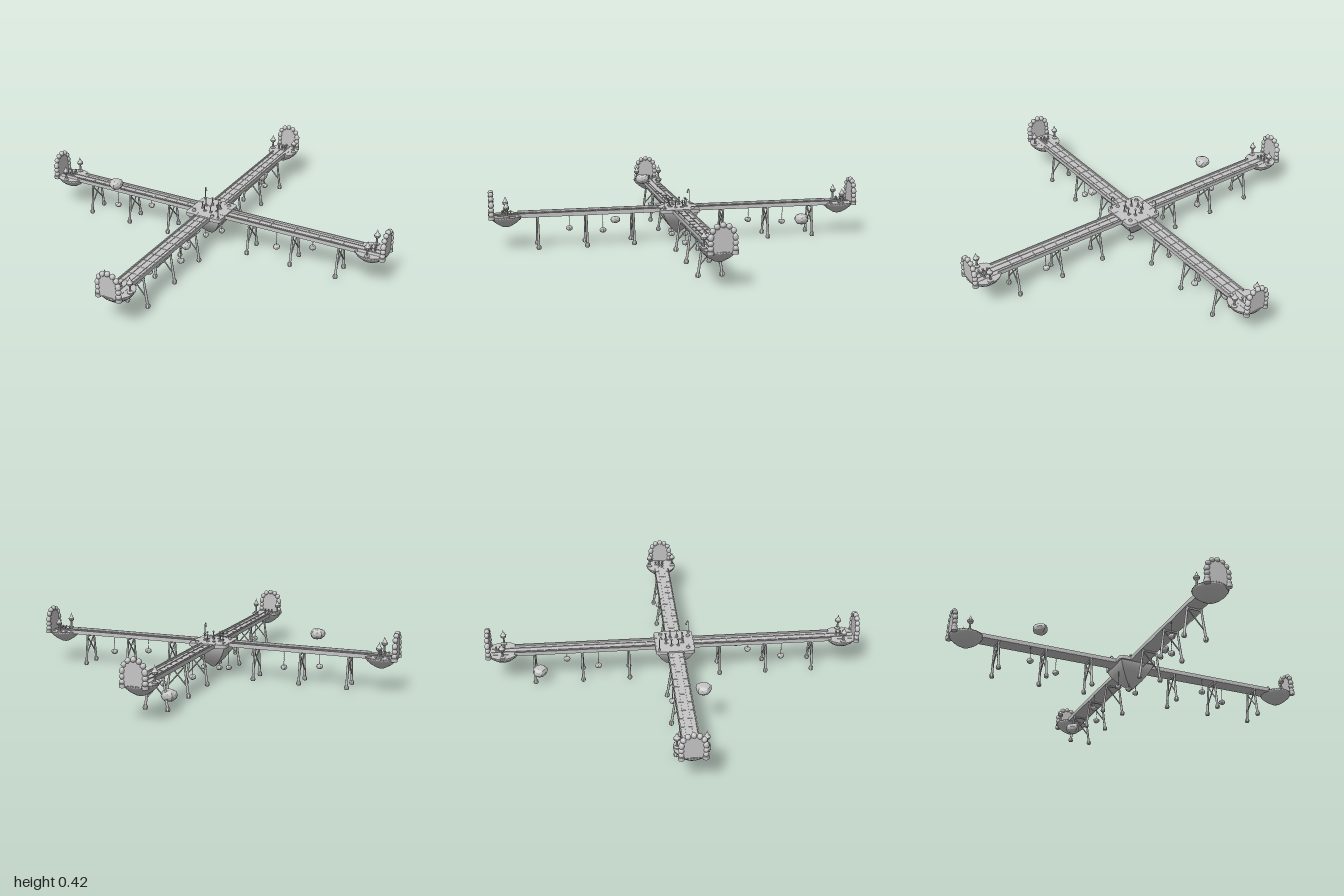
import * as THREE from 'three';
import { toCreasedNormals } from 'three/addons/utils/BufferGeometryUtils.js';

const stone = new THREE.MeshStandardMaterial({ color: 0xc6c6c6 });
stone.name = 'light grey stone';

function add(parent, name, geometry, x = 0, y = 0, z = 0) {
  const mesh = new THREE.Mesh(geometry, stone);
  mesh.name = name;
  mesh.position.set(x, y, z);
  parent.add(mesh);
  return mesh;
}

// Straight round bar between two points
function rod(parent, name, a, b, r0, r1 = r0) {
  const from = new THREE.Vector3(...a), to = new THREE.Vector3(...b);
  const dir = to.clone().sub(from);
  const mesh = add(parent, name, new THREE.CylinderGeometry(r1, r0, dir.length(), 8));
  mesh.position.copy(from).lerp(to, 0.5);
  mesh.quaternion.setFromUnitVectors(new THREE.Vector3(0, 1, 0), dir.normalize());
}

function lathe(points, sides, crease = 0.6) {
  return toCreasedNormals(new THREE.LatheGeometry(points.map(p => new THREE.Vector2(...p)), sides), crease);
}

// Faceted rock with a slightly flattened top
function rock(parent, name, x, y, z, r, squash = 0.7) {
  const g = new THREE.IcosahedronGeometry(r, 1);
  const p = g.attributes.position;
  for (let i = 0; i < p.count; i++) {
    const px = p.getX(i), py = p.getY(i), pz = p.getZ(i);
    const k = 1 + 0.1 * Math.sin(px / r * 3 + pz / r * 5);
    p.setXYZ(i, px * k, Math.min(py, r * 0.72) * squash, pz * k);
  }
  g.computeVertexNormals();
  add(parent, name, g, x, y, z);
}

const ball = r => new THREE.SphereGeometry(r, 12, 8);

// Small game-piece shaped pin
const pin = h => lathe([[0, 0], [0.009, 0], [0.009, 0.005], [0.004, 0.012], [0.003, h - 0.014],
  [0.008, h - 0.01], [0.008, h - 0.004], [0, h]], 8, 1);

const lantern = lathe([[0, 0], [0.02, 0], [0.02, 0.008], [0.008, 0.014], [0.006, 0.05], [0.02, 0.062],
  [0.022, 0.075], [0.012, 0.085], [0.009, 0.095], [0.003, 0.105], [0, 0.12]], 10);

function trestle(arm, x) {
  const g = new THREE.Group();
  g.name = 'trestle';
  g.position.x = x;
  arm.add(g);
  for (const s of [-1, 1]) {
    rod(g, 'leg', [0, 0.02, s * 0.076], [0, 0.225, s * 0.049], 0.009, 0.007);
    add(g, 'foot', lathe([[0, 0], [0.014, 0], [0.018, 0.01], [0.016, 0.022], [0.009, 0.032], [0, 0.032]], 8), 0, 0, s * 0.077);
    rod(g, 'crossBrace', [0, 0.075, s * 0.068], [0, 0.21, -s * 0.05], 0.0045);
  }
  rod(g, 'topBeam', [0, 0.213, -0.058], [0, 0.213, 0.058], 0.007);
}

function hangingStone(parent, x, z, y, top, r) {
  rod(parent, 'hangingLine', [x, y, z], [x, top, z], 0.0018);
  for (let cy = y + r; cy < top; cy += 0.014) add(parent, 'chainBead', ball(0.003), x, cy, z);
  rock(parent, 'hangingStone', x, y, z, r, 0.85);
}

// Arched gate edged with balls, facing along the arm
function gate(arm, x) {
  const g = new THREE.Group();
  g.name = 'archedGate';
  g.position.x = x;
  arm.add(g);
  const shape = new THREE.Shape();
  shape.moveTo(-0.066, 0.23);
  shape.lineTo(0.066, 0.23);
  shape.lineTo(0.066, 0.323);
  shape.absarc(0, 0.323, 0.066, 0, Math.PI);
  shape.closePath();
  const panel = add(g, 'gatePanel', new THREE.ExtrudeGeometry(shape, { depth: 0.016, bevelEnabled: false, curveSegments: 12 }), -0.008);
  panel.rotation.y = Math.PI / 2;
  for (const s of [-1, 1]) {
    add(g, 'columnBase', new THREE.CylinderGeometry(0.021, 0.021, 0.024, 12), 0, 0.233, s * 0.075);
    for (let i = 0; i < 3; i++) add(g, 'columnBall', ball(0.019), 0, 0.257 + i * 0.032, s * 0.075);
  }
  for (let i = 0; i <= 6; i++) {
    const a = i * Math.PI / 6;
    add(g, 'archBall', ball(0.0185), 0, 0.328 + 0.07 * Math.sin(a), 0.073 * Math.cos(a));
  }
}

function buildArm(sx, sz) {
  const arm = new THREE.Group();
  arm.name = 'bridgeArm';
  arm.rotation.y = Math.atan2(-sz, sx);
  const len = 1.19, mid = 0.1 + len / 2;

  // Deck with side walls, rails and ties
  add(arm, 'deck', new THREE.BoxGeometry(len, 0.016, 0.112), mid, 0.231, 0);
  for (const s of [-1, 1]) {
    add(arm, 'sideWall', new THREE.BoxGeometry(1.03, 0.028, 0.008), 0.615, 0.238, s * 0.054);
    add(arm, 'rail', new THREE.BoxGeometry(len, 0.004, 0.004), mid, 0.241, s * 0.022);
  }
  for (let x = 0.2; x < 1.1; x += 0.09) add(arm, 'tie', new THREE.BoxGeometry(0.006, 0.002, 0.1), x, 0.24, 0);
  for (const x of [0.325, 0.658, 0.995]) trestle(arm, x);

  // Stones hung from the deck edges
  const s = -sx * sz;
  hangingStone(arm, 0.77, s * 0.05, 0.115, 0.225, 0.024);
  hangingStone(arm, 0.545, -s * 0.06, 0.115, 0.225, 0.024);

  // End bowl
  const bowl = lathe([[0, 0.15], [0.03, 0.158], [0.07, 0.182], [0.1, 0.208], [0.113, 0.226], [0.115, 0.237], [0, 0.237]], 18, 0.25);
  add(arm, 'endBowl', bowl, 1.21, 0, 0);
  for (let i = 3; i < 38; i++) {
    const a = Math.PI + i * Math.PI / 20;
    add(arm, 'rimBead', new THREE.SphereGeometry(0.004, 6, 4), 1.21 + 0.114 * Math.cos(a), 0.234, 0.114 * Math.sin(a));
  }
  for (const k of [-1, 1]) add(arm, 'lanternPost', lantern, 1.21, 0.235, k * 0.092);
  gate(arm, 1.31);
  return arm;
}

function buildHub() {
  const hub = new THREE.Group();
  hub.name = 'centralHub';

  // Rounded diamond platform over a pointed keel
  const a = 0.113, r = 0.025, shape = new THREE.Shape();
  for (let i = 0; i < 4; i++) {
    const t = Math.PI / 4 + i * Math.PI / 2;
    shape.absarc(a * Math.SQRT2 * Math.cos(t), a * Math.SQRT2 * Math.sin(t), r, t - Math.PI / 4, t + Math.PI / 4);
  }
  shape.closePath();
  const plate = add(hub, 'platform', new THREE.ExtrudeGeometry(shape, { depth: 0.026, bevelEnabled: false }), 0, 0.224, 0);
  plate.rotation.set(-Math.PI / 2, 0, Math.PI / 4);
  add(hub, 'keel', lathe([[0, 0.055], [0.02, 0.063], [0.085, 0.11], [0.14, 0.165], [0.168, 0.205], [0.176, 0.226], [0, 0.226]], 4, 0.6));

  // Ring of pins and flat marks
  for (let i = 0; i < 8; i++) {
    const t = (i + 0.5) * Math.PI / 4;
    add(hub, 'ringPin', pin(0.058), 0.065 * Math.cos(t), 0.249, 0.065 * Math.sin(t));
    const mark = add(hub, 'ringMark', new THREE.BoxGeometry(0.007, 0.006, 0.02), 0.052 * Math.cos(t), 0.252, 0.052 * Math.sin(t));
    mark.rotation.y = -t;
  }
  for (const [x, z] of [[-0.13, 0], [0.13, 0], [-0.03, 0.12]])
    add(hub, 'disc', new THREE.CylinderGeometry(0.011, 0.014, 0.012, 12), x, 0.256, z);

  // Hooked lamp posts leaning inward
  for (const s of [-1, 1]) {
    const pts = [[0.25, 0.16], [0.32, 0.16], [0.345, 0.155], [0.35, 0.145], [0.335, 0.136]];
    const curve = new THREE.CatmullRomCurve3(pts.map(([y, z]) => new THREE.Vector3(0, y, s * z)));
    add(hub, 'hookPost', new THREE.TubeGeometry(curve, 20, 0.003, 6));
    add(hub, 'hookLamp', ball(0.007), 0, 0.33, s * 0.136);
    add(hub, 'hookBase', new THREE.CylinderGeometry(0.006, 0.009, 0.012, 8), 0, 0.256, s * 0.16);
  }

  // Stones hung beneath the keel
  for (const [x, y, z] of [[-0.092, 0.052, -0.055], [-0.045, 0.043, 0.005], [0.075, 0.062, 0.01]])
    hangingStone(hub, x, z, y, 0.17, 0.022);
  return hub;
}

export function createModel() {
  const model = new THREE.Group();
  model.name = 'crossBridge';
  for (const sx of [-1, 1]) for (const sz of [-1, 1]) {
    model.add(buildArm(sx, sz));
    // Triangle of pins on each bowl
    for (let row = 0; row < 3; row++) for (let i = 0; i < 3 - row; i++)
      add(model, 'bowlPin', pin(0.035), sx * 0.862 + (i - (2 - row) / 2) * 0.032, 0.236, sz * 0.862 + (row - 1) * 0.025);
  }
  model.add(buildHub());

  // Floating rocks
  rock(model, 'floatingRock', -0.605, 0.33, -0.425, 0.053, 0.8);
  rock(model, 'floatingRock', 0.63, 0.1, -0.73, 0.053, 0.85);
  rock(model, 'floatingRock', -0.285, 0.185, 0.36, 0.034, 0.8);
  return model;
}
